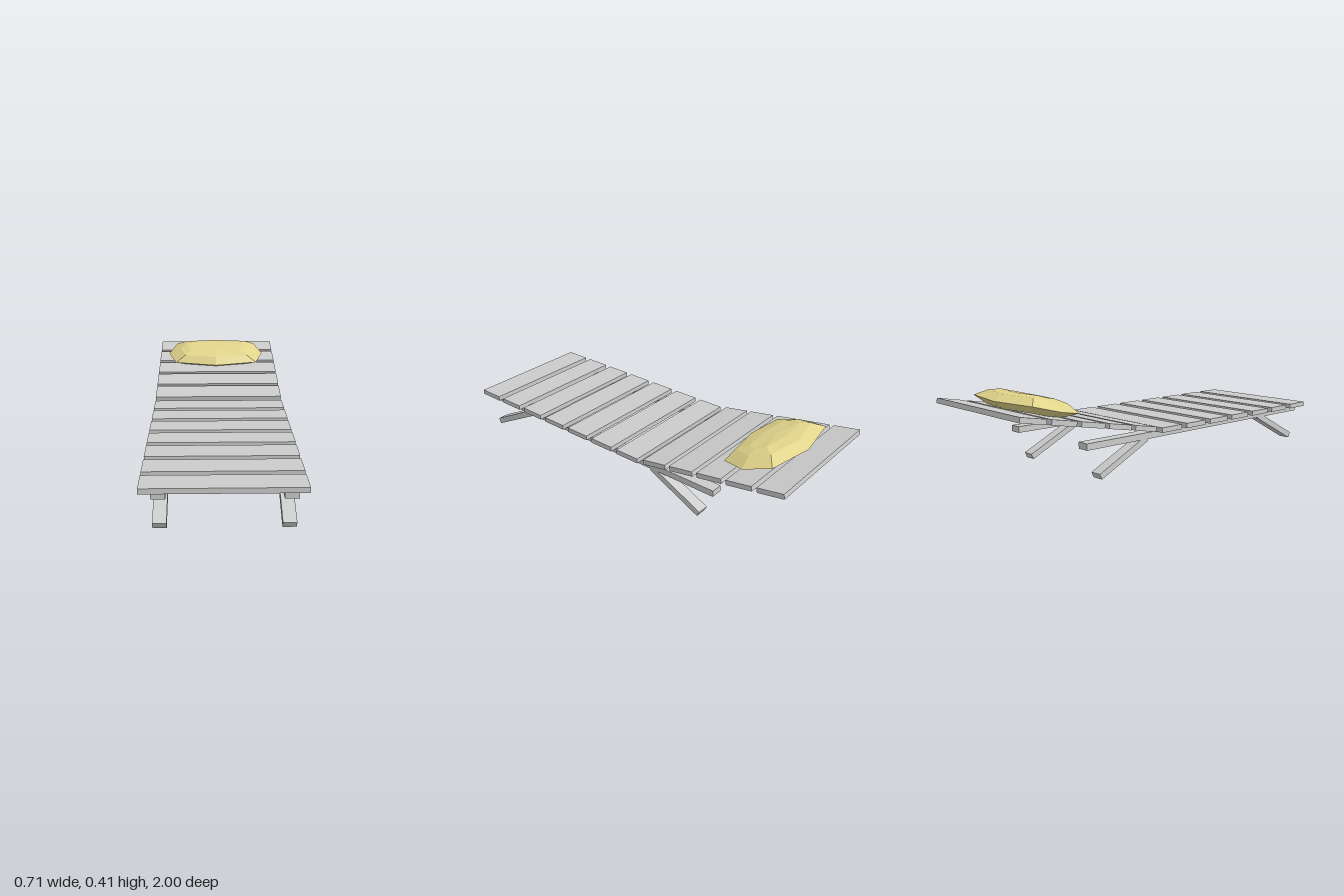
import * as THREE from 'three';

const wood = new THREE.MeshStandardMaterial({ color: 0xcccccc, flatShading: true });
const fabric = new THREE.MeshStandardMaterial({ color: 0xe0d38a, flatShading: true });

// A plank centred at x, y, z and tilted about the x axis
function plank(name, [w, h, d], [x, y, z], tilt = 0) {
  const mesh = new THREE.Mesh(new THREE.BoxGeometry(w, h, d), wood);
  mesh.name = name;
  mesh.position.set(x, y, z);
  mesh.rotation.x = tilt;
  return mesh;
}

// A square-ended bar of the given section between two points in the y-z plane
function strut(name, x, [z0, y0], [z1, y1], width, thickness) {
  const length = Math.hypot(z1 - z0, y1 - y0);
  const tilt = -Math.atan2(y1 - y0, z1 - z0);
  return plank(name, [width, thickness, length], [x, (y0 + y1) / 2, (z0 + z1) / 2], tilt);
}

// Faceted cushion: stacked eight-sided rings closed by a fan at each end
function cushionGeometry() {
  const outline = [
    [0.29, 0, 0], [0.245, 0.13, 0], [0, 0.172, 0], [-0.245, 0.13, 0],
    [-0.29, 0, 0], [-0.245, -0.13, 0.008], [0, -0.172, 0], [0.245, -0.13, 0.008],
  ];
  // scale in x, scale in z, height, shift in z
  const rings = [
    [0.74, 0.7, -0.03, 0], [1, 1, 0, 0], [0.76, 0.74, 0.037, 0.006], [0.62, 0.36, 0.051, 0],
  ];
  const n = outline.length;
  const pos = [];
  const index = [];
  for (const [sx, sz, h, shift] of rings) {
    for (const [x, z, lift] of outline) pos.push(x * sx, h + lift * sx, z * sz + shift);
  }
  const bottom = rings.length * n;
  const top = bottom + 1;
  pos.push(0, -0.034, 0, 0, 0.054, 0);
  for (let j = 0; j < n; j++) {
    const k = (j + 1) % n;
    for (let r = 0; r < rings.length - 1; r++) {
      const a = r * n + j, b = r * n + k;
      index.push(a, a + n, b, b, a + n, b + n);
    }
    const last = (rings.length - 1) * n;
    index.push(bottom, j, k, top, last + k, last + j);
  }
  const geo = new THREE.BufferGeometry();
  geo.setAttribute('position', new THREE.Float32BufferAttribute(pos, 3));
  geo.setIndex(index);
  geo.computeVertexNormals();
  return geo;
}

export function createModel() {
  const model = new THREE.Group();
  model.name = 'sunLounger';
  const slat = [0.708, 0.025, 0.137];

  // Flat seat slats
  const seat = new THREE.Group();
  seat.name = 'seatSlats';
  for (let i = 0; i < 7; i++) {
    seat.add(plank('seatSlat', slat, [0, 0.2025, 0.932 - i * 0.1742]));
  }

  // Backrest slats, rising towards the head
  const back = new THREE.Group();
  back.name = 'backrestSlats';
  for (let i = 0; i < 5; i++) {
    const t = i / 4;
    back.add(plank('backrestSlat', slat, [0, 0.2255 + 0.118 * t, -0.29 - 0.641 * t], 0.182));
  }

  // Side rails and splayed legs
  const frame = new THREE.Group();
  frame.name = 'frame';
  for (const x of [-0.272, 0.281]) {
    frame.add(plank('sideRail', [0.061, 0.032, 1.595], [x, 0.175, 0.188]));
    frame.add(strut('frontLeg', x, [0.64, 0.167], [0.937, 0.0145], 0.061, 0.032));
    frame.add(strut('backLeg', x, [-0.235, 0.163], [-0.53, 0.022], 0.061, 0.03));
  }

  // Head cushion resting on the backrest
  const cushion = new THREE.Mesh(cushionGeometry(), fabric);
  cushion.name = 'headCushion';
  cushion.position.set(-0.008, 0.35, -0.74);
  cushion.rotation.x = 0.2;

  model.add(seat, back, frame, cushion);
  return model;
}
